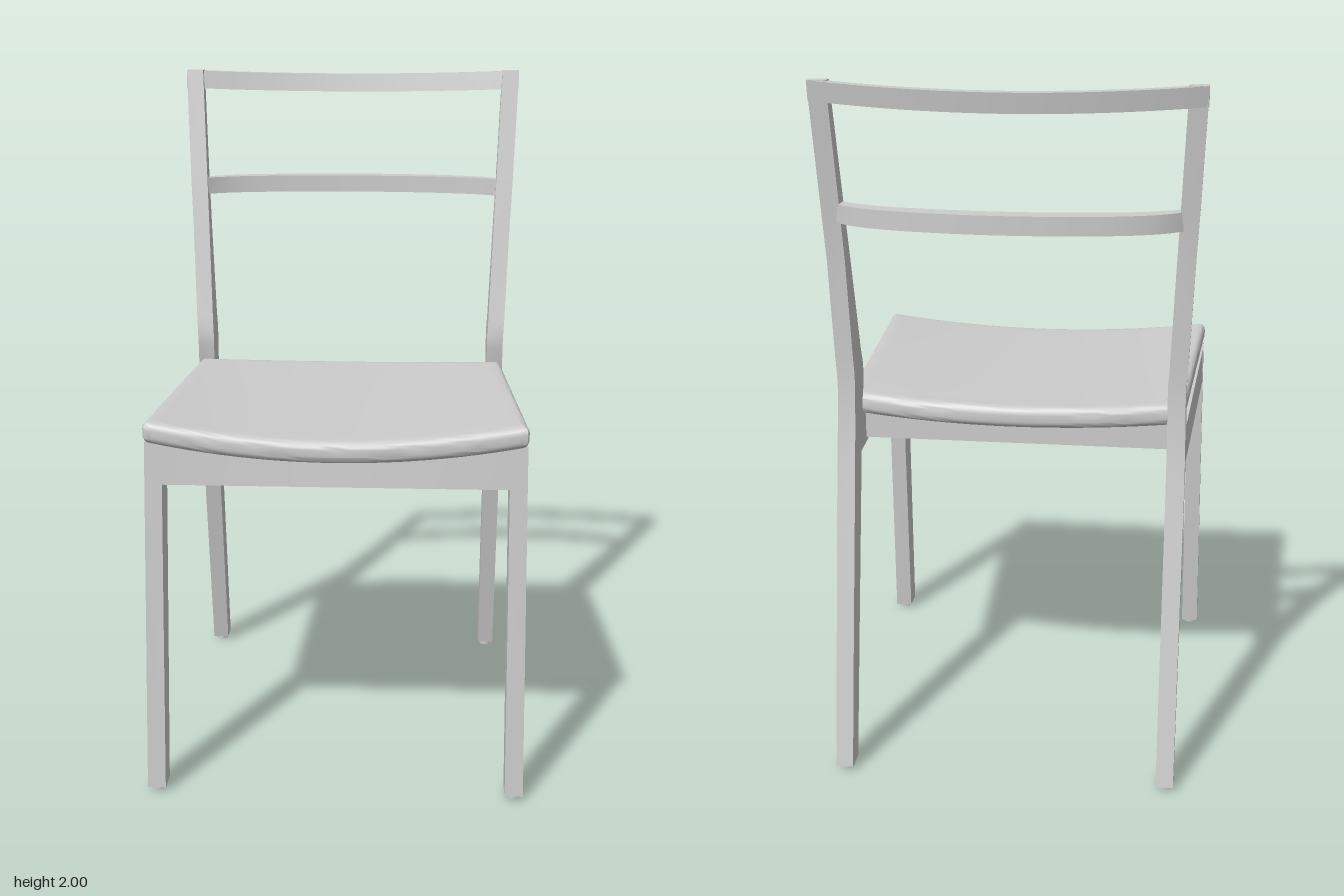
import * as THREE from 'three';
import { toCreasedNormals } from 'three/addons/utils/BufferGeometryUtils.js';

const mix = THREE.MathUtils.lerp;

// Skin a run of closed cross-sections (arrays of [x, y, z]) and cap both ends.
function loft(sections, crease = 0.5) {
  const n = sections[0].length, last = (sections.length - 1) * n;
  let idx = [];
  const quad = (a, b, c, d) => idx.push(a, b, c, a, c, d);
  for (let s = 0; s < sections.length - 1; s++) {
    for (let i = 0; i < n; i++) {
      const j = (i + 1) % n;
      quad(s * n + i, s * n + j, (s + 1) * n + j, (s + 1) * n + i);
    }
  }
  for (let i = 0; i < n / 2 - 1; i++) {
    quad(i, n - 1 - i, n - 2 - i, i + 1);
    quad(last + i, last + i + 1, last + n - 2 - i, last + n - 1 - i);
  }
  // Keep faces outward whatever the direction of the loops.
  const pts = sections.flat().map(p => new THREE.Vector3(...p));
  let volume = 0;
  for (let k = 0; k < idx.length; k += 3) {
    volume += pts[idx[k]].dot(pts[idx[k + 1]].clone().cross(pts[idx[k + 2]]));
  }
  if (volume < 0) idx.reverse();
  const geo = new THREE.BufferGeometry().setFromPoints(pts);
  geo.setIndex(idx);
  return toCreasedNormals(geo, crease);
}

// Post section at one height.
const post = (side, [y, zf, zb, xi, xo]) => [
  [side * xi, y, zf], [side * xo, y, zf], [side * xo, y, zb], [side * xi, y, zb]];

// Rail along x: at(u) gives [yBottom, yTop, zFront, zBack, frontShift] with u from -1 to 1.
function rail(halfWidth, at, steps = 32) {
  const sections = [];
  for (let i = 0; i <= steps; i++) {
    const u = i / steps * 2 - 1, x = u * halfWidth;
    const [y0, y1, zf, zb, lean = 0] = at(u);
    sections.push([[x, y0, zf + lean], [x, y1, zf], [x, y1, zb], [x, y0, zb + lean]]);
  }
  return loft(sections);
}

// Dished seat pad with rounded rim and bowed front and back edges.
function seatGeometry() {
  const half = 0.031, r = 0.022, stops = [];
  for (let k = 0; k <= 5; k++) {
    const a = k / 5 * Math.PI / 2;
    stops.push({ t: -1, inset: r * (1 - Math.cos(a)), drop: r * (1 - Math.sin(a)) });
  }
  for (let k = 1; k < 24; k++) stops.push({ t: k / 12 - 1, inset: 0, drop: 0 });
  for (let k = 5; k >= 0; k--) stops.push({ ...stops[k], t: 1 });

  const point = (su, sv, face) => {
    const v = (sv.t + 1) / 2, width = mix(0.488, 0.532, v);
    const x = su.t * (width - su.inset - sv.drop * 0.3);
    const u = x / width;
    const z = mix(-0.355 + 0.045 * u * u, 0.58 - 0.03 * u * u, v) - sv.t * (sv.inset ? sv.inset : 0);
    const y = mix(1.055, 1.069, v) - mix(0.015, 0.045, v) * (1 - u * u);
    return [x, y + face * (half - Math.max(su.drop, sv.drop)), z];
  };
  return loft(stops.map(sv => [
    ...stops.map(su => point(su, sv, 1)),
    ...[...stops].reverse().map(su => point(su, sv, -1))]), 0.7);
}

export function createModel() {
  const chair = new THREE.Group();
  chair.name = 'chair';
  const grey = new THREE.MeshStandardMaterial({ color: 0xcccccc });
  grey.name = 'light grey';
  const add = (name, geo) => {
    const mesh = new THREE.Mesh(geo, grey);
    mesh.name = name;
    chair.add(mesh);
    return mesh;
  };

  add('seat', seatGeometry());

  // Height, front z, back z, inner x, outer x
  const frontLeg = [
    [0.015, 0.592, 0.52, 0.488, 0.54],
    [0.915, 0.536, 0.445, 0.482, 0.531],
    [1.036, 0.528, 0.437, 0.482, 0.53]];
  const backLeg = [
    [0.015, -0.52, -0.588, 0.445, 0.495],
    [0.4, -0.445, -0.521, 0.445, 0.496],
    [0.7, -0.386, -0.466, 0.445, 0.497],
    [0.91, -0.345, -0.429, 0.445, 0.497],
    [1.03, -0.318, -0.413, 0.444, 0.495],
    [1.13, -0.298, -0.407, 0.443, 0.493],
    [1.17, -0.297, -0.406, 0.443, 0.494],
    [1.22, -0.307, -0.407, 0.446, 0.497],
    [1.5, -0.353, -0.415, 0.457, 0.508],
    [1.66, -0.379, -0.431, 0.464, 0.516],
    [2.0, -0.435, -0.475, 0.478, 0.53]];

  for (const [side, label] of [[1, 'left'], [-1, 'right']]) {
    add(label + 'FrontLeg', loft(frontLeg.map(s => post(side, s))));
    add(label + 'BackLeg', loft(backLeg.map(s => post(side, s)), 0.3));

    // Side apron
    add(label + 'SideApron', loft([[0.45, 0.529, 0.916, 1.037], [-0.35, 0.494, 0.91, 1.026]].map(
      ([z, x, y0, y1]) => [
        [side * (x - 0.045), y0, z], [side * x, y0, z], [side * x, y1, z], [side * (x - 0.045), y1, z]])));

    // Foot pads
    for (const [x, z, name] of [[0.515, 0.556, 'Front'], [0.47, -0.554, 'Back']]) {
      add(label + name + 'Foot', new THREE.CylinderGeometry(0.02, 0.02, 0.018, 20))
        .position.set(side * x, 0.009, z);
    }
  }

  // Aprons under the seat, cut to its dished underside
  add('frontApron', rail(0.485, u => [0.915, 1.036 - 0.04 * (1 - u * u), 0.528, 0.483, 0.008]));
  add('backApron', rail(0.46, u => [0.925, 1.03 - 0.017 * (1 - u * u), -0.2, -0.24]));

  // Curved back rails
  add('topRail', rail(0.53, u => {
    const bow = Math.pow(Math.cos(u * Math.PI / 2), 0.9) || 0;
    const sag = 0.015 * (1 - u * u);
    return [1.945 - sag, 2.0 - sag, -0.435 - 0.08 * bow, -0.475 - 0.08 * bow, 0.009];
  }));
  add('middleRail', rail(0.475, u => {
    const bow = 1 - 0.65 * u * u - 0.35 * Math.pow(u, 8);
    return [1.61, 1.662, -0.38 - 0.098 * bow, -0.425 - 0.113 * bow];
  }));

  return chair;
}
